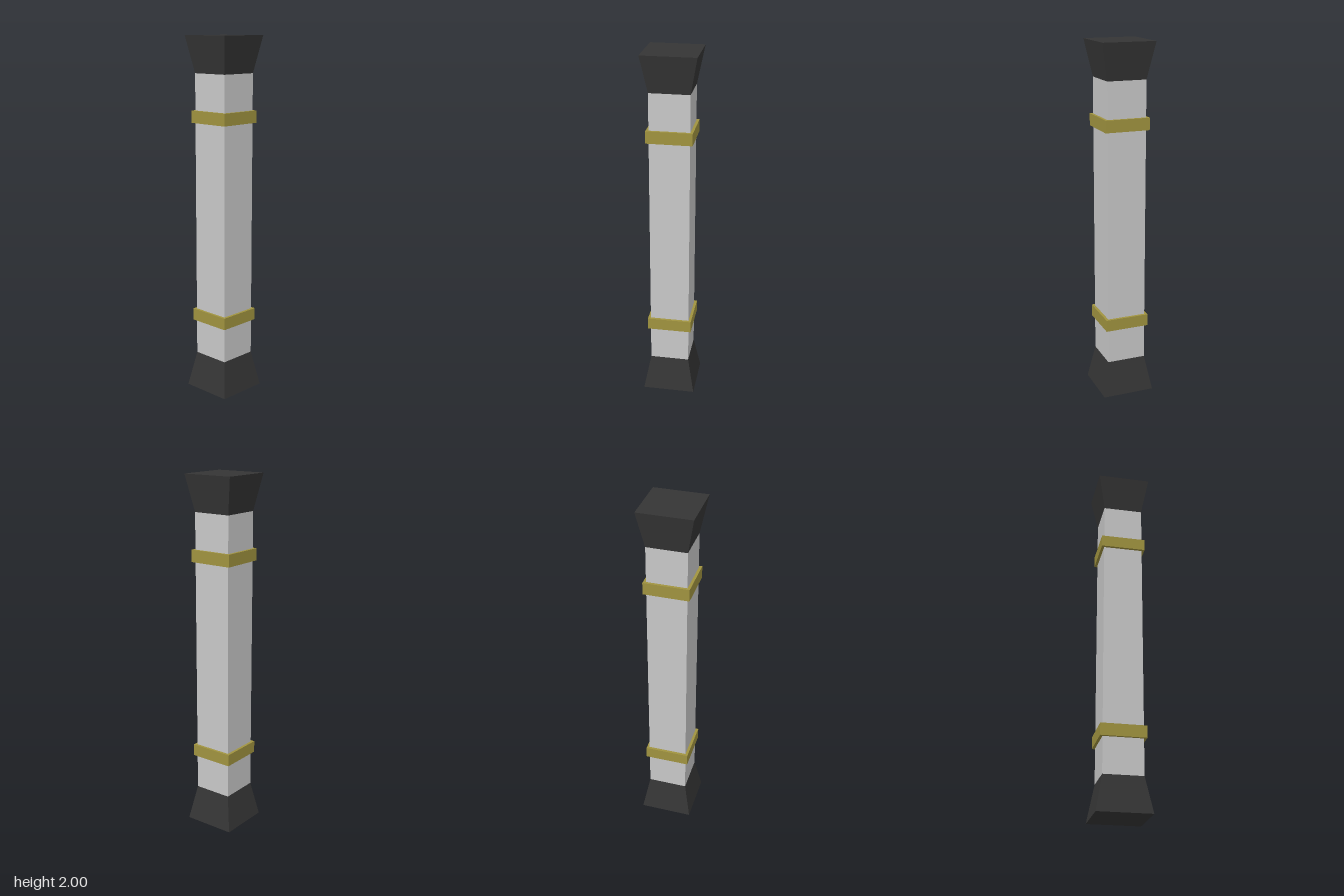
import * as THREE from 'three';

const material = (name, color) => {
  const m = new THREE.MeshStandardMaterial({ color });
  m.name = name;
  return m;
};

// Square frustum given by its half-widths and its height range
function squareBlock(name, mat, topHalf, bottomHalf, y0, y1) {
  const geometry = new THREE.CylinderGeometry(
    topHalf * Math.SQRT2, bottomHalf * Math.SQRT2, y1 - y0, 4
  ).rotateY(Math.PI / 4).toNonIndexed();
  geometry.computeVertexNormals(); // flat faces
  const mesh = new THREE.Mesh(geometry, mat);
  mesh.name = name;
  mesh.position.y = (y0 + y1) / 2;
  return mesh;
}

export function createModel() {
  const stone = material('paleGrey', 0xc8c8c8);
  const gold = material('dullGold', 0xa0933f);
  const dark = material('charcoal', 0x353535);

  const pillar = new THREE.Group();
  pillar.name = 'pillar';
  pillar.add(
    // Flared ends
    squareBlock('base', dark, 0.11, 0.148, 0, 0.2),
    squareBlock('capital', dark, 0.148, 0.11, 1.8, 2),
    // Shaft between them
    squareBlock('shaft', stone, 0.11, 0.11, 0.2, 1.8),
    // Raised bands around the shaft
    squareBlock('lowerBand', gold, 0.125, 0.125, 0.4, 0.467),
    squareBlock('upperBand', gold, 0.125, 0.125, 1.533, 1.6)
  );
  return pillar;
}
